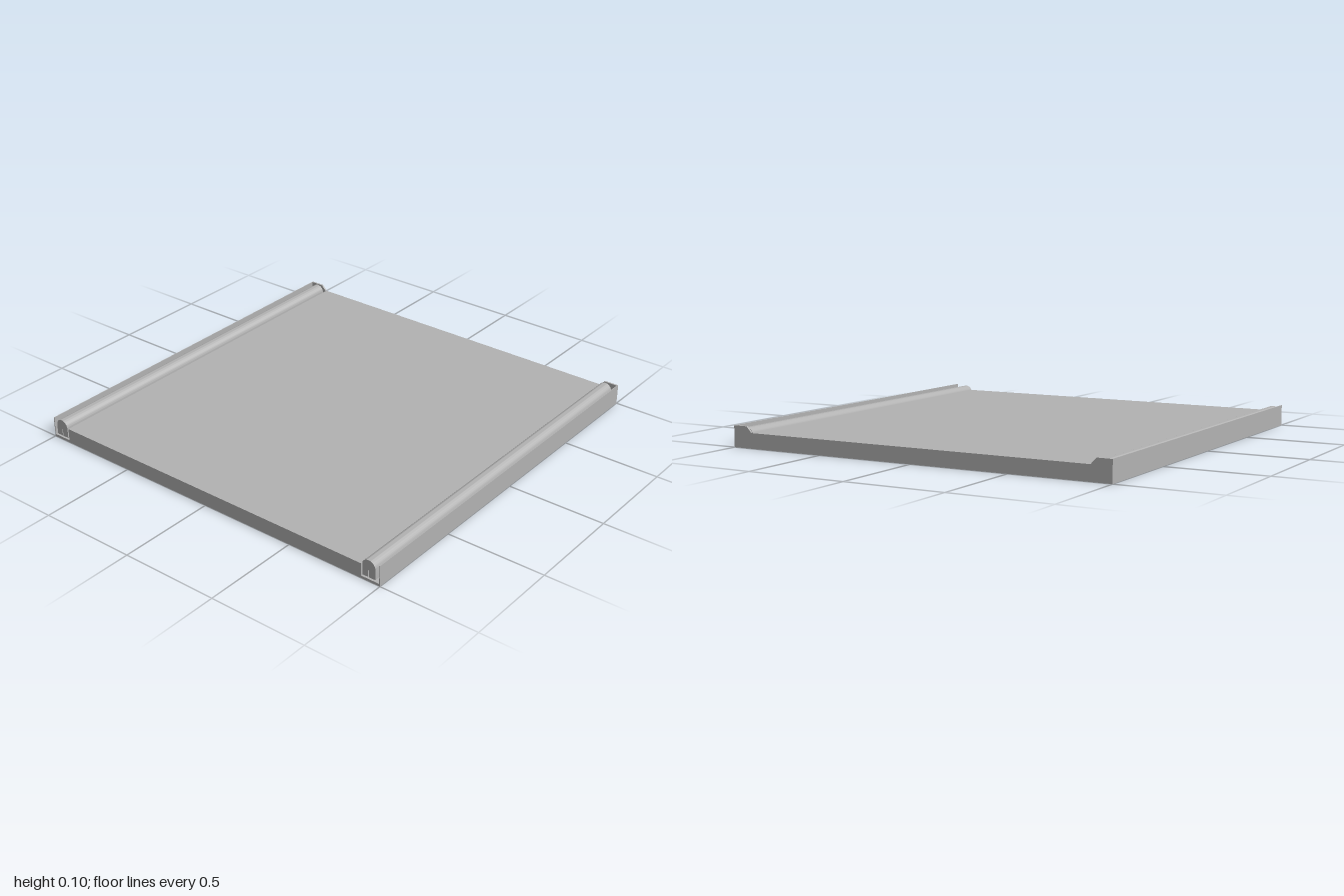
import * as THREE from 'three';
import { toCreasedNormals } from 'three/addons/utils/BufferGeometryUtils.js';

export function createModel() {
  const model = new THREE.Group();
  model.name = 'trayWithRails';
  const grey = new THREE.MeshStandardMaterial({ color: 0xb2b2b2 });
  grey.name = 'lightGrey';

  const add = (name, geometry, x = 0, y = 0, z = 0) => {
    const mesh = new THREE.Mesh(geometry, grey);
    mesh.name = name;
    mesh.position.set(x, y, z);
    model.add(mesh);
  };
  const extrude = (shape, depth) => toCreasedNormals(
    new THREE.ExtrudeGeometry(shape, { depth, bevelEnabled: false, curveSegments: 20 }), 0.6);

  // Main slab
  add('slab', new THREE.BoxGeometry(1.8, 0.075, 2), 0, 0.0375, 0);

  // Arched bar with a narrow slot rising from its underside
  const half = 0.036, slot = 0.002, bottom = 0.013, top = 0.1;
  const arch = new THREE.Shape();
  arch.moveTo(slot, bottom);
  arch.lineTo(half, bottom);
  arch.lineTo(half, top - half);
  arch.absarc(0, top - half, half, 0, Math.PI, false);
  arch.lineTo(-half, bottom);
  arch.lineTo(-slot, bottom);
  arch.lineTo(-slot, 0.05);
  arch.lineTo(slot, 0.05);
  arch.closePath();
  const barGeometry = extrude(arch, 1.98);

  // Channel on each side: floor, thin outer wall, chamfered back cap and bar
  const wall = 0.004;
  for (const [side, s, barX] of [['right', -1, -0.955], ['left', 1, 0.932]]) {
    add(side + 'ChannelFloor', new THREE.BoxGeometry(0.1, 0.012, 2), s * 0.95, 0.006, 0);
    add(side + 'OuterWall', new THREE.BoxGeometry(wall, 0.105, 2), s * (1 - wall / 2), 0.0525, 0);
    const cap = new THREE.Shape([[0.9, 0], [1, 0], [1, 0.105], [0.925, 0.105], [0.9, 0.078]]
      .map(([x, y]) => new THREE.Vector2(s * x, y)));
    add(side + 'BackCap', extrude(cap, 0.01), 0, 0, -1);
    add(side + 'RailBar', barGeometry, barX, 0, -0.99);
  }
  return model;
}
